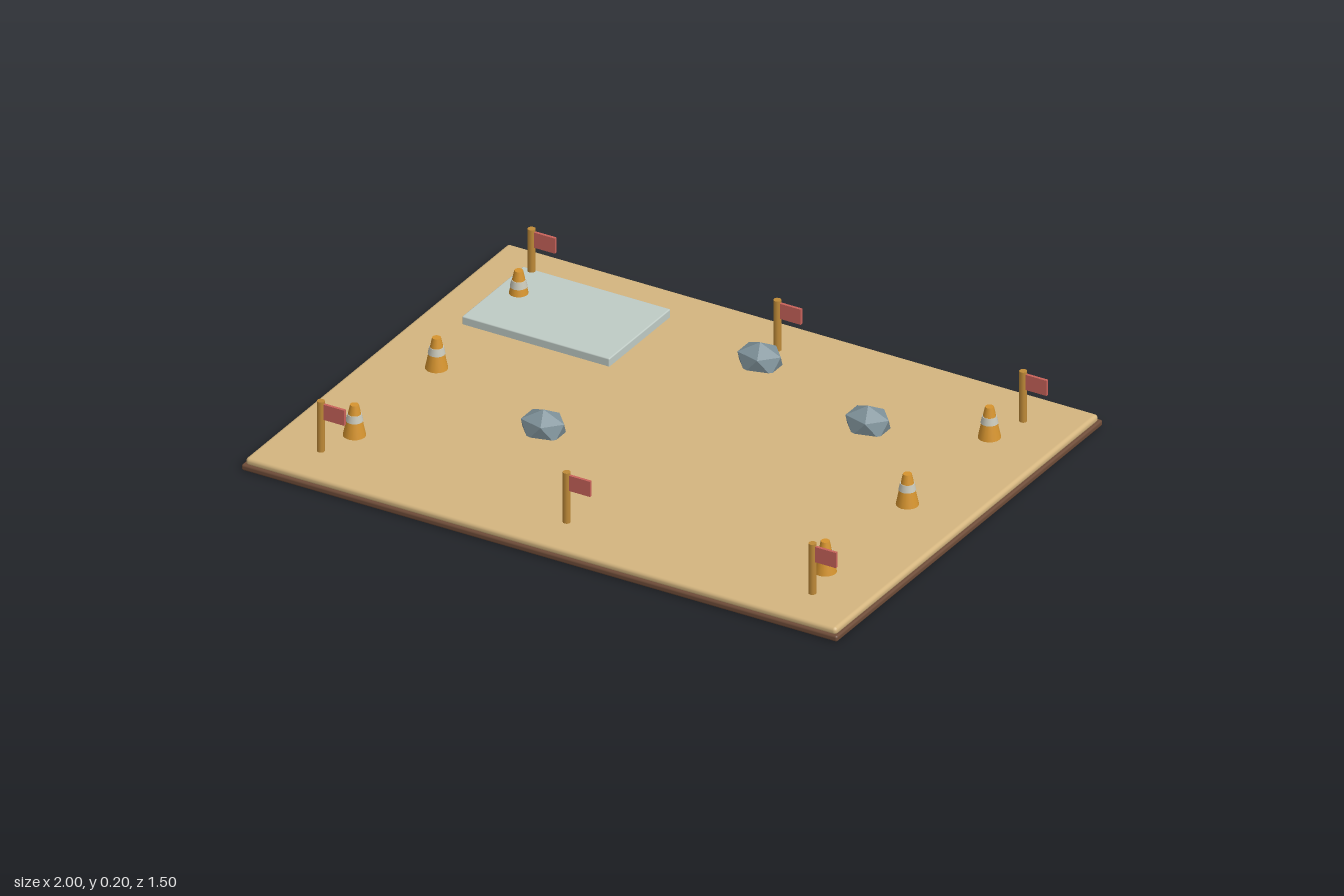
import * as THREE from 'three';
import { RoundedBoxGeometry } from 'three/addons/geometries/RoundedBoxGeometry.js';

const mat = (name, color, flatShading = false) => {
  const m = new THREE.MeshStandardMaterial({ color, flatShading });
  m.name = name;
  return m;
};

export function createModel() {
  const model = new THREE.Group();
  model.name = 'trainingGround';

  const sand = mat('sand', 0xd4b57f);
  const earth = mat('earth', 0x6e4c38);
  const ice = mat('paleIce', 0xbfcbc5);
  const stone = mat('stone', 0x7f929a, true);
  const orange = mat('coneOrange', 0xd6942f);
  const white = mat('bandGrey', 0xc9c8ba);
  const wood = mat('poleWood', 0xbf8a38);
  const red = mat('flagRed', 0xc8625a);

  const add = (parent, name, geometry, material, x = 0, y = 0, z = 0) => {
    const mesh = new THREE.Mesh(geometry, material);
    mesh.name = name;
    mesh.position.set(x, y, z);
    parent.add(mesh);
    return mesh;
  };

  const ground = 0.04;

  // Layered ground with softened edges
  add(model, 'earthBase', new RoundedBoxGeometry(2, 0.02, 1.5, 2, 0.007), earth, 0, 0.01, 0);
  add(model, 'sandTop', new RoundedBoxGeometry(1.984, 0.026, 1.484, 2, 0.012), sand, 0, ground - 0.013, 0);

  // Raised pale pad in the back right corner
  add(model, 'icePad', new RoundedBoxGeometry(0.495, 0.036, 0.345, 2, 0.004), ice, -0.612, 0.048, -0.432);

  // Squashed, half-sunken rocks with a vertex pointing up
  const rockGeometry = new THREE.IcosahedronGeometry(1, 0);
  rockGeometry.rotateZ(-Math.atan(2 / (1 + Math.sqrt(5))));
  rockGeometry.scale(0.078, 0.055, 0.063);
  for (const [x, z] of [[-0.333, 0.165], [0, -0.497], [0.46, -0.333]]) {
    add(model, 'rock', rockGeometry, stone, x, 0.056, z);
  }

  // Marker cones with a pale band
  const bottomR = 0.034, topR = 0.013, height = 0.1;
  const radiusAt = h => bottomR + (topR - bottomR) * h / height;
  const coneGeometry = new THREE.CylinderGeometry(topR, bottomR, height, 16);
  const bandGeometry = new THREE.CylinderGeometry(radiusAt(0.07) + 0.002, radiusAt(0.048) + 0.002, 0.022, 16);
  for (const x of [-0.79, 0.79]) {
    for (const z of [-0.463, 0, 0.463]) {
      const cone = new THREE.Group();
      cone.name = 'markerCone';
      cone.position.set(x, ground, z);
      add(cone, 'coneBody', coneGeometry, orange, 0, height / 2, 0);
      add(cone, 'coneBand', bandGeometry, white, 0, 0.059, 0);
      model.add(cone);
    }
  }

  // Flags along the front and back edges
  const poleGeometry = new THREE.CylinderGeometry(0.012, 0.012, 0.165, 10);
  const clothGeometry = new THREE.BoxGeometry(0.08, 0.05, 0.009);
  for (const x of [-0.825, 0, 0.825]) {
    for (const z of [-0.594, 0.594]) {
      const flag = new THREE.Group();
      flag.name = 'flag';
      flag.position.set(x, ground, z);
      add(flag, 'flagPole', poleGeometry, wood, 0, 0.0825, 0);
      add(flag, 'flagCloth', clothGeometry, red, 0.041, 0.132, 0);
      model.add(flag);
    }
  }

  return model;
}
